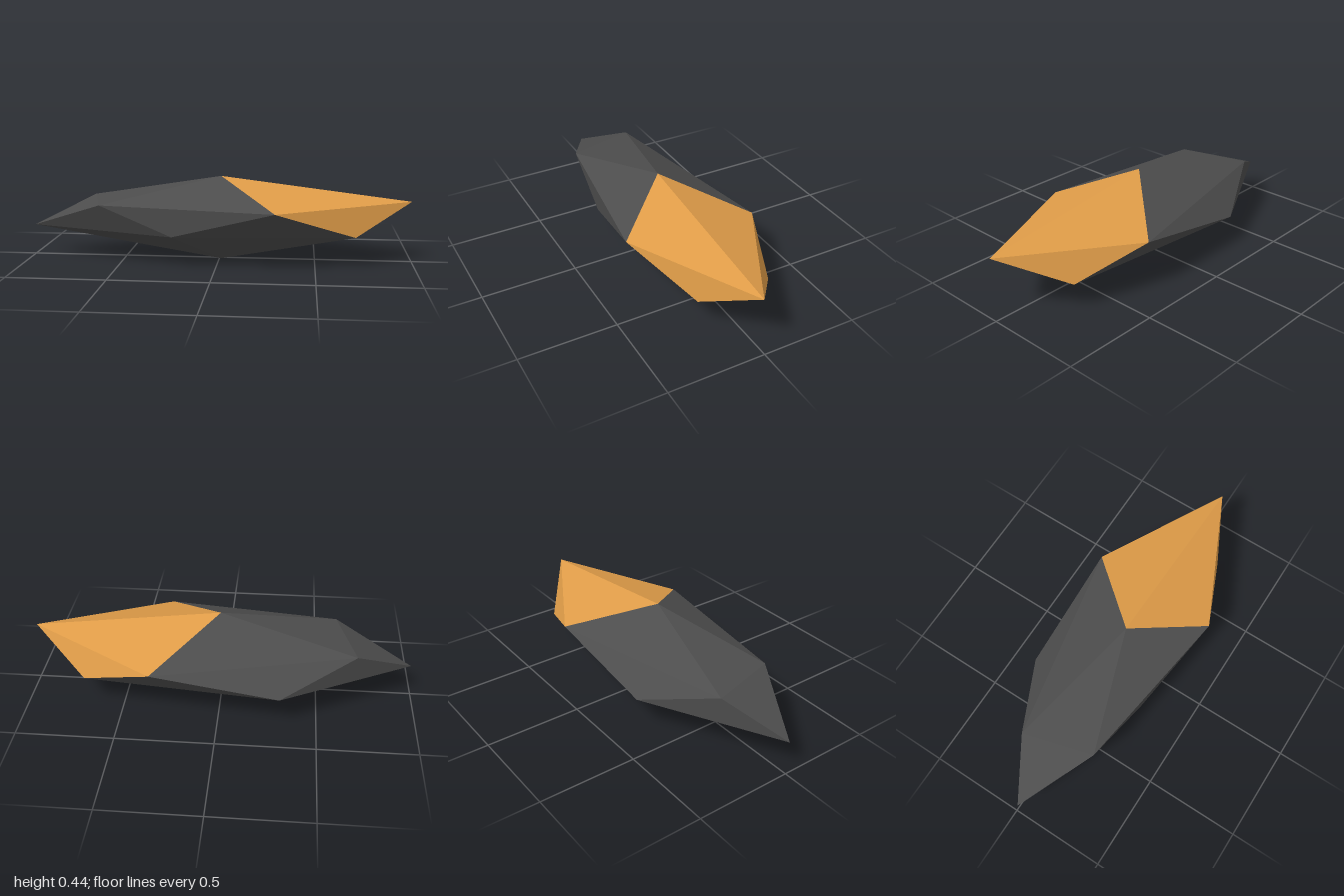
import * as THREE from 'three';

// Faceted stone: a stretched icosahedron made of two poles and two staggered rings of five.
const top = [0.01, 0.44, 0.02];
const bottom = [0.01, 0, 0.02];
const upper = [
  [0.99, 0.32, 0.02], [0.3, 0.303, 0.347], [-0.595, 0.31, 0.22],
  [-0.695, 0.307, -0.142], [0.34, 0.277, -0.348],
];
const lower = [
  [0.7, 0.16, 0.18], [-0.22, 0.162, 0.262], [-0.99, 0.164, 0.02],
  [-0.31, 0.167, -0.343], [0.7, 0.15, -0.212],
];

function facetMesh(name, faces, material) {
  const geometry = new THREE.BufferGeometry();
  geometry.setAttribute('position', new THREE.Float32BufferAttribute(faces.flat(2), 3));
  geometry.computeVertexNormals(); // unshared corners give flat facets
  const mesh = new THREE.Mesh(geometry, material);
  mesh.name = name;
  return mesh;
}

export function createModel() {
  const darkStone = new THREE.MeshStandardMaterial({ color: 0x4d4d4d });
  darkStone.name = 'darkStone';
  const amber = new THREE.MeshStandardMaterial({ color: 0xdf9c48 });
  amber.name = 'amber';

  const bodyFaces = [];
  const tipFaces = [];
  for (let i = 0; i < 5; i++) {
    const j = (i + 1) % 5;
    // The sectors on either side of the +x point belong to the amber tip.
    const besideTip = i === 0 || i === 4 ? tipFaces : bodyFaces;
    const underTip = i === 4 ? tipFaces : bodyFaces;
    besideTip.push([top, upper[j], upper[i]], [upper[i], upper[j], lower[i]]);
    underTip.push([lower[i], upper[j], lower[j]], [bottom, lower[i], lower[j]]);
  }

  const stone = new THREE.Group();
  stone.name = 'facetedStone';
  stone.add(facetMesh('stoneBody', bodyFaces, darkStone), facetMesh('amberTip', tipFaces, amber));
  return stone;
}
